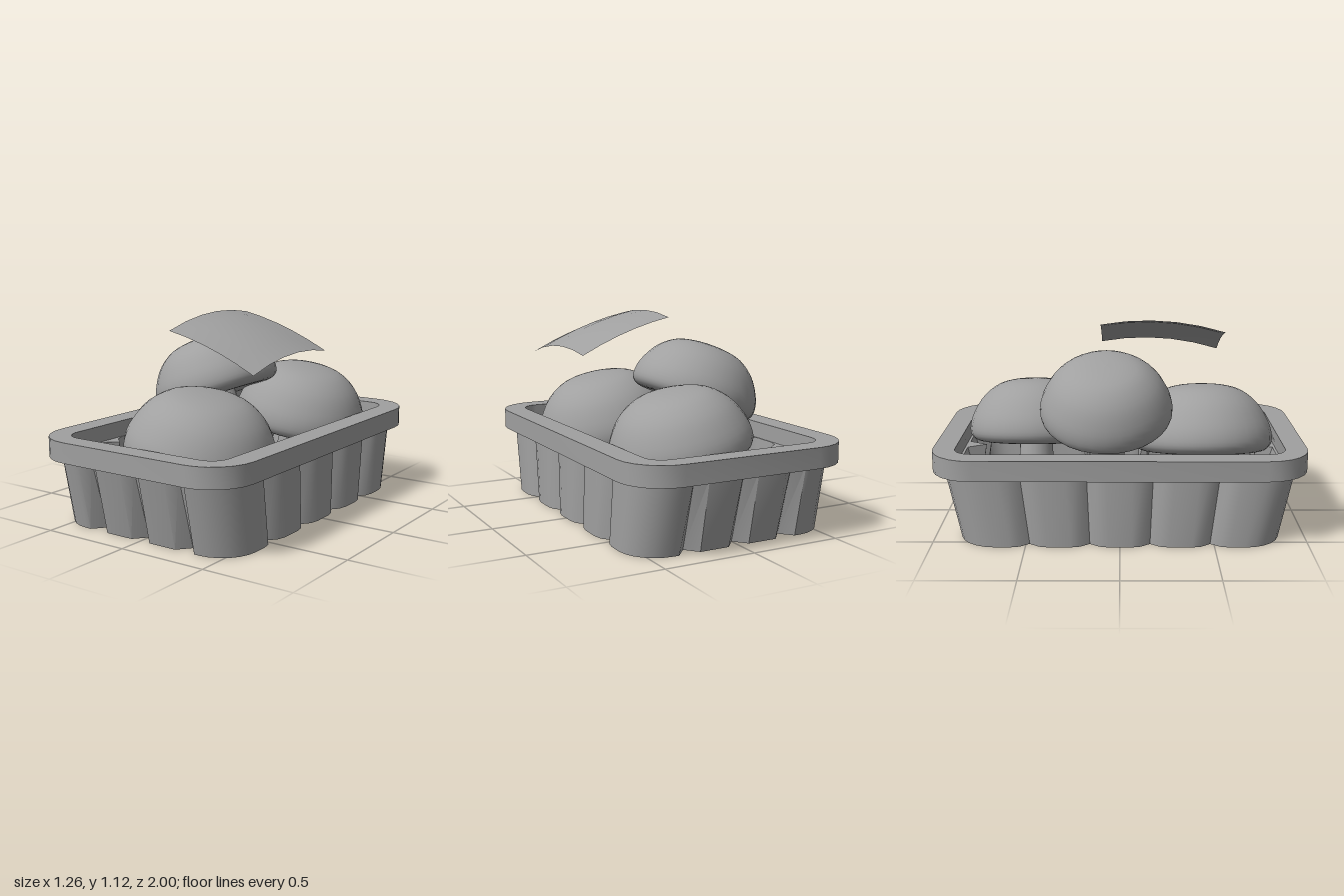
import * as THREE from 'three';
import { toCreasedNormals } from 'three/addons/utils/BufferGeometryUtils.js';

const mat = () => new THREE.MeshStandardMaterial({ color: 0xa0a0a0 });
function mesh(name, geometry, material = mat()) {
  const m = new THREE.Mesh(geometry, material);
  m.name = name;
  return m;
}

// Tray outline: cusps along the long sides, V grooves across the ends
function trayOutline(hx, hz, r, cusp, groove) {
  const half = [[hx, r - hz]];
  for (const z of [-0.48, -0.16, 0.16, 0.48]) {
    for (const [dz, d] of [[-0.1, 0], [-0.05, 0.22], [0, 1], [0.05, 0.22], [0.1, 0]])
      half.push([hx - d * cusp, z + dz]);
  }
  for (let i = 0; i <= 6; i++) {
    const a = i * Math.PI / 12;
    half.push([hx - r + r * Math.cos(a), hz - r + r * Math.sin(a)]);
  }
  for (const x of [0.285, 0, -0.285])
    half.push([x + 0.06, hz], [x, hz - groove], [x - 0.06, hz]);
  for (let i = 0; i < 6; i++) {
    const a = Math.PI / 2 + i * Math.PI / 12;
    half.push([r - hx + r * Math.cos(a), hz - r + r * Math.sin(a)]);
  }
  return half.concat(half.map(([x, z]) => [-x, -z]));
}

function trayGeometry() {
  // loops run up the outside, over the top and down the inside, where the flutes fade out
  const outer = trayOutline(0.575, 0.86, 0.2, 0.05, 0.07);
  const floor = trayOutline(0.48, 0.78, 0.12, 0, 0);
  const loops = [
    [outer, 0, 1],
    [trayOutline(0.575, 0.86, 0.2, 0.05, 0.04), 0.4, 1.1],
    [trayOutline(0.495, 0.78, 0.12, 0.08, 0.09), 0.4, 1.11],
    [floor, 0.15, 1.03],
  ];
  const n = outer.length;
  const pos = [], index = [];
  for (const [pts, y, s] of loops) for (const [x, z] of pts) pos.push(x, y, z * s);
  for (let j = 0; j < loops.length - 1; j++) {
    for (let i = 0; i < n; i++) {
      const a = j * n + i, b = j * n + (i + 1) % n;
      index.push(a, a + n, b, b, a + n, b + n);
    }
  }
  // underside and inner floor
  const cap = (pts, base, up) => {
    const contour = pts.map(([x, z]) => new THREE.Vector2(x, z));
    for (const [a, b, c] of THREE.ShapeUtils.triangulateShape(contour, [])) {
      const facesDown = THREE.ShapeUtils.area([contour[a], contour[b], contour[c]]) > 0;
      if (facesDown !== up) index.push(base + a, base + b, base + c);
      else index.push(base + a, base + c, base + b);
    }
  };
  cap(outer, 0, false);
  cap(floor, 3 * n, true);
  const g = new THREE.BufferGeometry();
  g.setAttribute('position', new THREE.Float32BufferAttribute(pos, 3));
  g.setIndex(index);
  return toCreasedNormals(g, 0.7);
}

function roundedRect(path, hx, hz, r) {
  path.moveTo(hx, r - hz);
  path.absarc(hx - r, hz - r, r, 0, Math.PI / 2);
  path.absarc(r - hx, hz - r, r, Math.PI / 2, Math.PI);
  path.absarc(r - hx, r - hz, r, Math.PI, Math.PI * 1.5);
  path.absarc(hx - r, r - hz, r, Math.PI * 1.5, Math.PI * 2);
  path.closePath();
  return path;
}

function rimGeometry() {
  const shape = roundedRect(new THREE.Shape(), 0.63, 1, 0.24);
  shape.holes.push(roundedRect(new THREE.Path(), 0.5, 0.88, 0.1));
  const g = new THREE.ExtrudeGeometry(shape, { depth: 0.11, bevelEnabled: false, curveSegments: 3 });
  g.rotateX(-Math.PI / 2).translate(0, 0.38, 0);
  return toCreasedNormals(g, 0.6);
}

// Mushroom with its cap base at the origin, leaning about z
function mushroom(name, x, y, z, size, tilt, stemLength) {
  const group = new THREE.Group();
  group.name = name;
  const profile = new THREE.SplineCurve([
    [0.08, 0.01], [0.2, -0.025], [0.3, -0.03], [0.35, -0.005], [0.363, 0.045], [0.345, 0.12],
    [0.287, 0.217], [0.2, 0.285], [0.1, 0.312], [0, 0.318],
  ].map(([px, py]) => new THREE.Vector2(px, py))).getPoints(28);
  profile[profile.length - 1].x = 0;
  const cap = mesh('mushroomCap', new THREE.LatheGeometry(profile, 32));
  cap.scale.setScalar(size);
  const stem = mesh('mushroomStem', new THREE.CylinderGeometry(0.09, 0.105, stemLength, 20));
  stem.position.y = 0.06 - stemLength / 2;
  group.add(cap, stem);
  group.position.set(x, y, z);
  group.rotation.z = tilt;
  return group;
}

// Curved sheet hovering above the tray
function sheetGeometry() {
  const g = new THREE.PlaneGeometry(0.52, 0.7, 5, 5);
  g.rotateX(-Math.PI / 2).translate(0.25, 0, 0.24);
  const p = g.attributes.position;
  for (let i = 0; i < p.count; i++) {
    const u = (p.getX(i) + 0.01) / 0.52, z = p.getZ(i) - 0.15;
    p.setY(i, 1.118 - 0.1 * u - 0.085 * u * u - 0.35 * z * z);
  }
  g.computeVertexNormals();
  return g;
}

export function createModel() {
  const model = new THREE.Group();
  model.name = 'mushroomPunnet';
  const sheetMaterial = mat();
  sheetMaterial.side = THREE.DoubleSide;
  model.add(
    mesh('tray', trayGeometry()),
    mesh('trayRim', rimGeometry()),
    mushroom('frontMushroom', 0.09, 0.375, 0.475, 1.12, -0.2, 0.25),
    mushroom('backMushroom', 0.12, 0.425, -0.49, 1.05, -0.2, 0.3),
    mushroom('topMushroom', -0.18, 0.627, -0.075, 1, 0.38, 0.52),
    mesh('coverSheet', sheetGeometry(), sheetMaterial),
  );
  return model;
}
